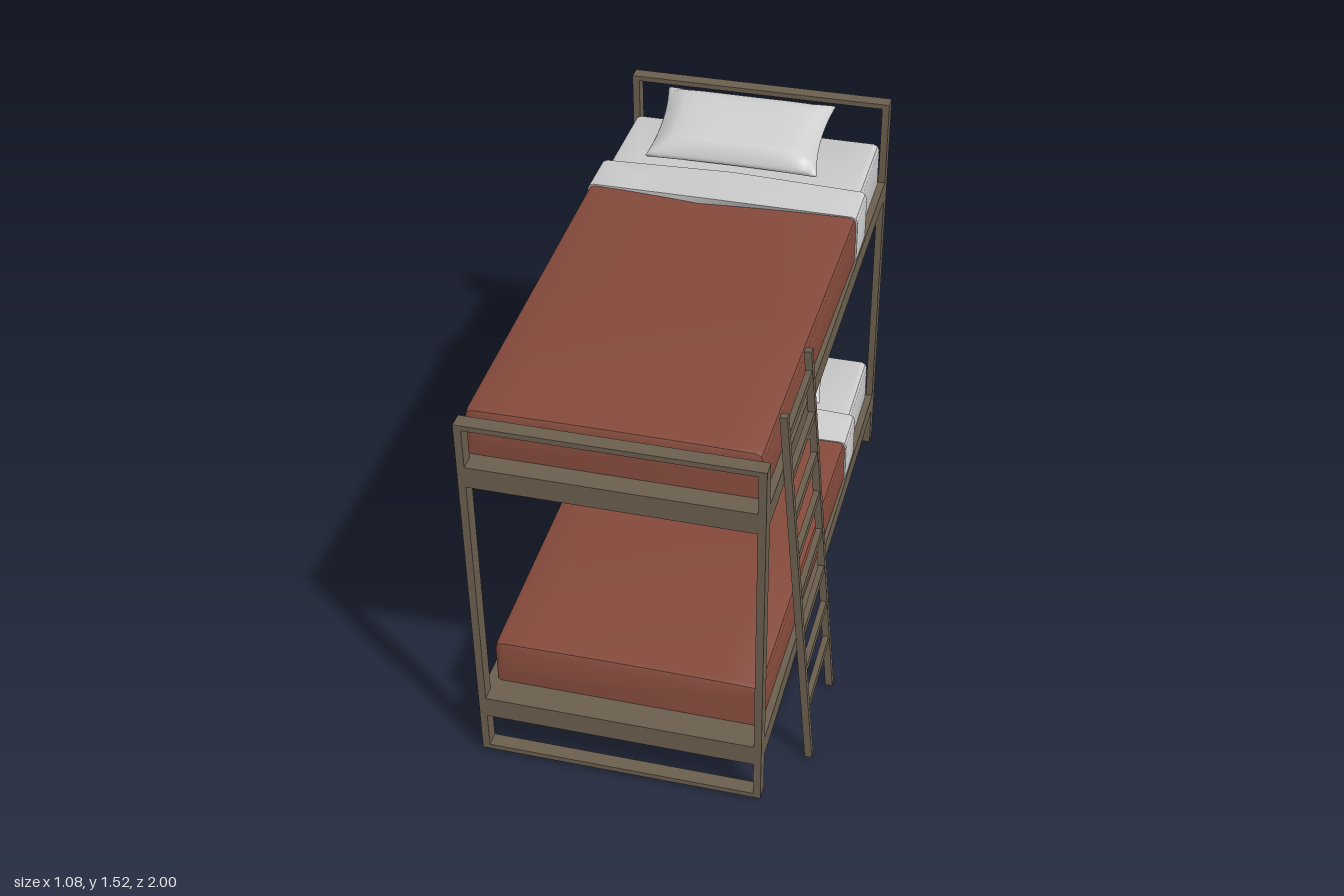
import * as THREE from 'three';
import { toCreasedNormals, mergeVertices } from 'three/addons/utils/BufferGeometryUtils.js';

const wood = new THREE.MeshStandardMaterial({ color: 0x6b5f4e });
const wool = new THREE.MeshStandardMaterial({ color: 0x83493b });
const linen = new THREE.MeshStandardMaterial({ color: 0xcccccc });

const L = -0.53, R = 0.415, MID = (L + R) / 2; // outer faces of the frame in x

// Box given by its limits on each axis
function bar(name, parent, [x0, x1], [y0, y1], [z0, z1]) {
  const mesh = new THREE.Mesh(new THREE.BoxGeometry(x1 - x0, y1 - y0, z1 - z0), wood);
  mesh.position.set((x0 + x1) / 2, (y0 + y1) / 2, (z0 + z1) / 2);
  mesh.name = name;
  parent.add(mesh);
}

// Cross-section: upright sides, rounded shoulders, crowned top
function section({ z, l, r, top, crown = 0, tent = false, tip = 0, inset = 0 }) {
  l += inset; r -= inset; top -= inset;
  const c = 0.022, pts = [[l, 0], [l, top - c], [l + c * 0.3, top - c * 0.3]];
  for (let i = 0; i <= 8; i++) {
    const u = i / 4 - 1;
    const rise = tent ? 1 - Math.abs(u) : 1 - u * u;
    pts.push([THREE.MathUtils.lerp(l + c, r - c, i / 8), top + crown * rise]);
  }
  pts.push([r - c * 0.3, top - c * 0.3], [r, top - c], [r, 0]);
  const mid = (l + r) / 2, half = (r - l) / 2;
  return pts.map(([x, y]) => new THREE.Vector3(x, y, z + tip * (1 - Math.abs(x - mid) / half)));
}

// Skin a row of sections running from front to back, with end caps
function loft(name, material, sections) {
  const rings = sections.map(section), n = rings[0].length, tris = [];
  for (let i = 0; i < rings.length - 1; i++) {
    for (let j = 0; j < n; j++) {
      const k = (j + 1) % n, a = rings[i], b = rings[i + 1];
      tris.push(a[j], a[k], b[j], a[k], b[k], b[j]);
    }
  }
  const first = rings[0], last = rings[rings.length - 1];
  for (let j = 1; j < n - 1; j++) {
    tris.push(first[0], first[j + 1], first[j], last[0], last[j], last[j + 1]);
  }
  const geometry = toCreasedNormals(new THREE.BufferGeometry().setFromPoints(tris), 0.7);
  const mesh = new THREE.Mesh(geometry, material);
  mesh.name = name;
  return mesh;
}

// Plump cushion with pinched corners
function pillow() {
  let g = new THREE.BoxGeometry(2, 2, 2, 20, 4, 14);
  g.deleteAttribute('normal');
  g.deleteAttribute('uv');
  g = mergeVertices(g);
  const p = g.attributes.position;
  for (let i = 0; i < p.count; i++) {
    const u = p.getX(i), w = p.getY(i), v = p.getZ(i);
    const puff = Math.sqrt(Math.max(0, (1 - u ** 4) * (1 - v ** 4)));
    const bulge = 1 + 0.06 * (1 - w * w);
    p.setXYZ(i,
      u * 0.29 * bulge * (1 - 0.06 * (1 - v * v)),
      w * 0.055 * (0.28 + 0.72 * puff),
      v * 0.16 * bulge * (1 - 0.04 * (1 - u * u)));
  }
  g.computeVertexNormals();
  const mesh = new THREE.Mesh(g, linen);
  mesh.name = 'pillow';
  mesh.rotation.x = 0.3;
  return mesh;
}

// Mattress, blanket, folded sheet and pillow, resting on height y
function bedding(name, y, left, foot, pillowX, pillowZ) {
  const bed = new THREE.Group();
  bed.name = name;
  bed.position.y = y;
  const sheet = { l: left + 0.005, r: 0.39, top: 0.162 };
  bed.add(loft('mattress', linen, [
    { ...sheet, z: -0.5 }, { ...sheet, z: -0.935 }, { ...sheet, z: -0.95, inset: 0.012 },
  ]));
  const front = { l: left, r: 0.39, top: 0.162, crown: 0.004 };
  bed.add(loft('blanket', wool, [
    { ...front, z: foot, inset: 0.014 },
    { ...front, z: foot - 0.006, inset: 0.004 },
    { ...front, z: foot - 0.02 },
    { ...front, z: 0.25, l: left - 0.007, r: 0.397, top: 0.166, crown: 0.007 },
    { z: -0.42, l: left - 0.015, r: 0.406, top: 0.168, crown: 0.013 },
  ]));
  const fold = { l: left - 0.019, r: 0.411, top: 0.173, tent: true };
  bed.add(loft('foldedSheet', linen, [
    { ...fold, z: -0.405, crown: 0.036, tip: 0.06 },
    { ...fold, z: -0.5, crown: 0.023, tip: 0.015 },
    { ...fold, z: -0.575, crown: 0.01, tip: -0.008 },
    { ...fold, z: -0.59, crown: 0, inset: 0.012 },
  ]));
  const cushion = pillow();
  cushion.position.set(pillowX, 0.24, pillowZ);
  bed.add(cushion);
  return bed;
}

export function createModel() {
  const model = new THREE.Group();
  model.name = 'bunkBed';
  const decks = [[0.17, 0.248], [1.13, 1.205]];

  // End frames: two posts joined by cross bars
  for (const [name, z, top] of [['footFrame', [0.95, 1], 1.36], ['headFrame', [-1, -0.95], 1.52]]) {
    const frame = new THREE.Group();
    frame.name = name;
    const t = 0.025, inner = [L + t, R - t];
    bar('post', frame, [L, L + t], [0.018, top], z);
    bar('post', frame, [R - t, R], [0.018, top], z);
    bar('topRail', frame, inner, [top - 0.018, top], z);
    bar('floorRail', frame, inner, [0.018, 0.036], z);
    for (const y of decks) bar('crossBeam', frame, inner, y, z);
    model.add(frame);
  }

  // Sleeping platforms
  for (const y of decks) bar('platform', model, [L, R], y, [-0.95, 0.95]);

  model.add(bedding('lowerBedding', 0.248, -0.5, 0.905, -0.037, -0.76));
  model.add(bedding('upperBedding', 1.205, -0.522, 0.93, -0.083, -0.775));

  // Leaning ladder
  const ladder = new THREE.Group();
  ladder.name = 'ladder';
  for (const z of [0.41, 0.757]) {
    bar('stile', ladder, [-0.012, 0.012], [-0.693, 0.695], [z - 0.012, z + 0.012]);
  }
  for (let i = 0; i < 8; i++) {
    const y = 0.215 + i * 0.156 - 0.693;
    bar('rung', ladder, [-0.01, 0.01], [y - 0.012, y + 0.012], [0.42, 0.747]);
  }
  ladder.position.set(0.468, 0.694, 0);
  ladder.rotation.z = Math.atan2(0.115, 1.385);
  model.add(ladder);

  return model;
}
